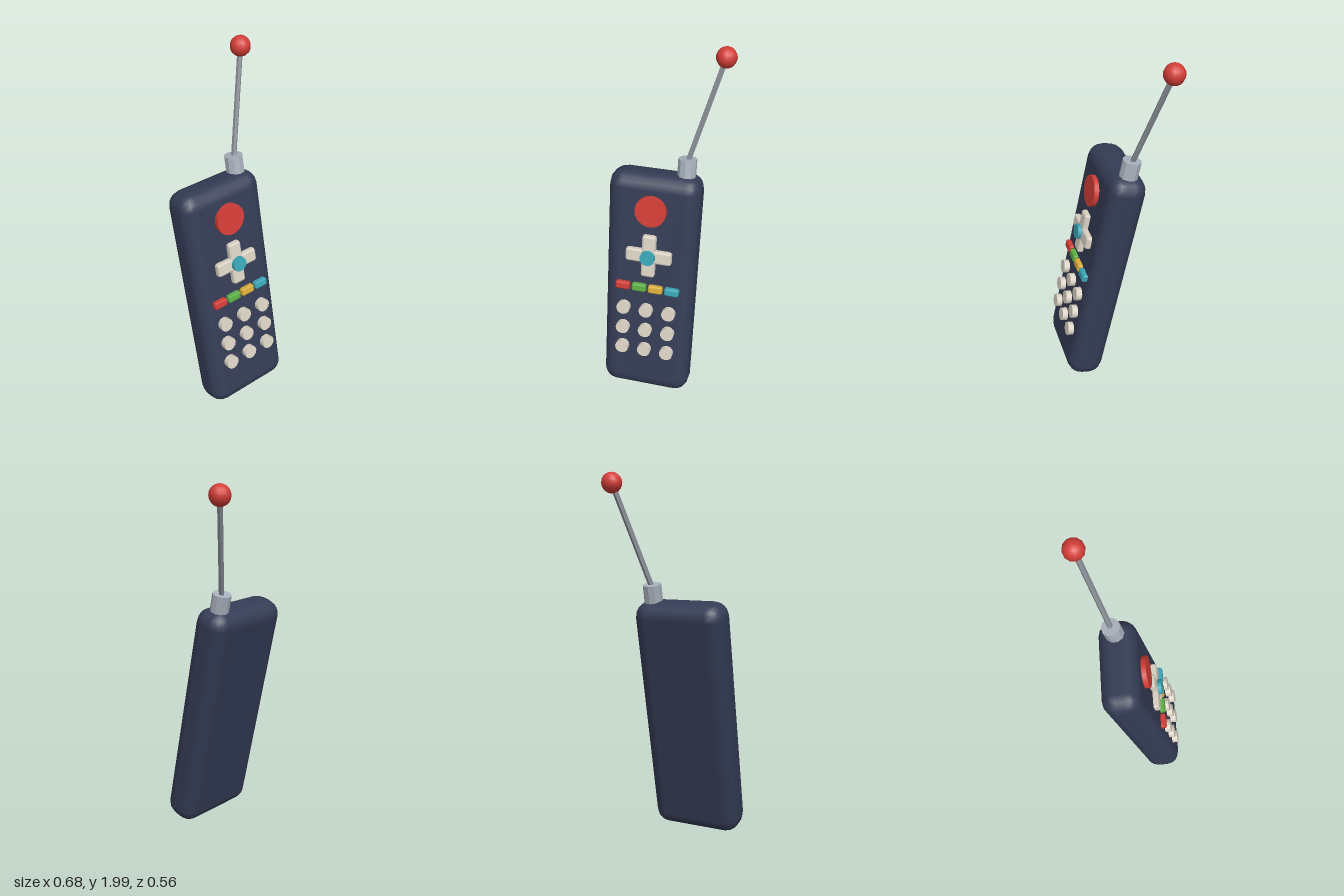
import * as THREE from 'three';
import { RoundedBoxGeometry } from 'three/addons/geometries/RoundedBoxGeometry.js';

const paint = (name, color, flatShading = false) => {
  const m = new THREE.MeshStandardMaterial({ color, flatShading });
  m.name = name;
  return m;
};

export function createModel() {
  const navy = paint('navy', 0x343c55);
  const red = paint('red', 0xd23d36);
  const cream = paint('cream', 0xdad2c4);
  const teal = paint('teal', 0x3aa6b6);
  const green = paint('green', 0x5cb044);
  const yellow = paint('yellow', 0xdcae38);
  const silver = paint('silver', 0xa9b2bd, true);
  const steel = paint('steel', 0x868d94, true);

  const model = new THREE.Group();
  model.name = 'remoteControl';

  // The handset leans back and turns slightly
  const handset = new THREE.Group();
  handset.name = 'handset';
  handset.position.set(-0.07, 0.67, 0.03);
  handset.rotation.set(THREE.MathUtils.degToRad(-12), THREE.MathUtils.degToRad(-8), 0, 'YXZ');
  model.add(handset);

  const add = (parent, name, geometry, material, x, y, z) => {
    const mesh = new THREE.Mesh(geometry, material);
    mesh.name = name;
    mesh.position.set(x, y, z);
    parent.add(mesh);
    return mesh;
  };
  // Round button whose front lies at depth "front"
  const disc = (name, radius, sides, front, material, x, y) => {
    const depth = front - 0.08;
    const g = new THREE.CylinderGeometry(radius, radius, depth, sides).rotateX(Math.PI / 2);
    return add(handset, name, g, material, x, y, front - depth / 2);
  };

  add(handset, 'body', new RoundedBoxGeometry(0.512, 1.35, 0.21, 2, 0.083), navy, 0, 0, 0);
  disc('powerButton', 0.087, 24, 0.131, red, 0, 0.482);

  // Direction pad
  add(handset, 'padAcross', new RoundedBoxGeometry(0.26, 0.078, 0.06, 1, 0.014), cream, 0, 0.216, 0.106);
  add(handset, 'padUpright', new RoundedBoxGeometry(0.078, 0.25, 0.06, 1, 0.014), cream, 0, 0.216, 0.106);
  disc('padCentre', 0.042, 14, 0.157, teal, 0, 0.216);

  // Row of coloured keys
  [red, green, yellow, teal].forEach((m, i) => {
    add(handset, 'colourKey', new RoundedBoxGeometry(0.083, 0.046, 0.05, 1, 0.011), m,
      (i - 1.5) * 0.094, 0.014, 0.108);
  });

  // Keypad
  for (let row = -1; row <= 1; row++) {
    for (let col = -1; col <= 1; col++) {
      disc('keypadKey', 0.039, 12, 0.138, cream, col * 0.132, -0.256 + row * 0.13);
    }
  }

  // Antenna: collar follows the handset, rod leans outward to the ball
  add(handset, 'antennaCollar', new THREE.CylinderGeometry(0.051, 0.051, 0.11, 10), silver, 0.16, 0.71, 0);
  const base = new THREE.Vector3(0.108, 1.39, -0.1);
  const tip = new THREE.Vector3(0.286, 1.945, -0.223);
  const along = tip.clone().sub(base);
  const rod = add(model, 'antennaRod', new THREE.CylinderGeometry(0.015, 0.015, along.length(), 6), steel, 0, 0, 0);
  rod.position.copy(base).add(tip).multiplyScalar(0.5);
  rod.quaternion.setFromUnitVectors(new THREE.Vector3(0, 1, 0), along.normalize());
  add(model, 'antennaBall', new THREE.SphereGeometry(0.055, 12, 10), red, tip.x, tip.y, tip.z);

  return model;
}
